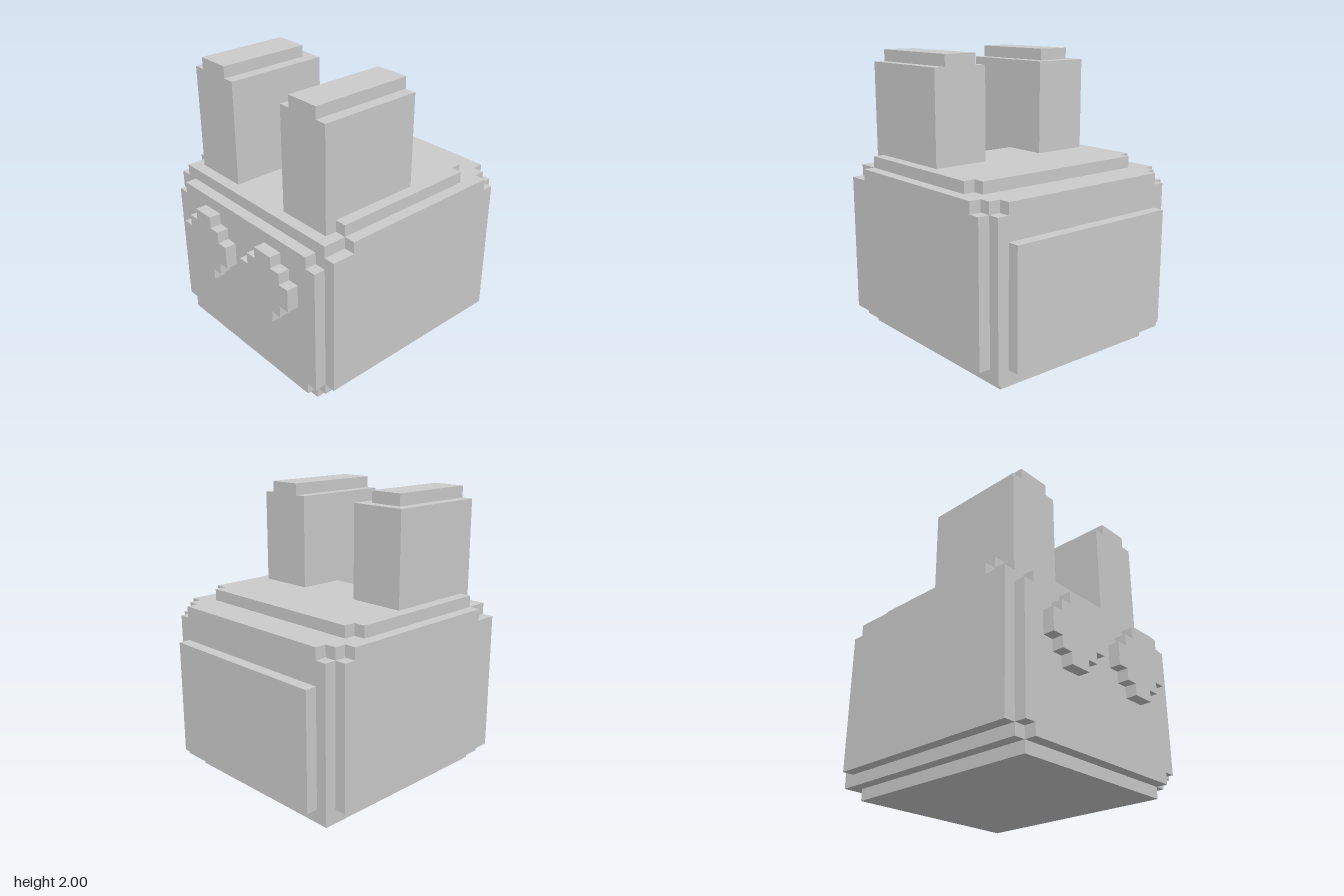
import * as THREE from 'three';

const U = 0.08; // edge of one block
const material = new THREE.MeshStandardMaterial({ color: 0xcccccc, flatShading: true });

// Box spanning [x0,x1] x [y0,y1] x [z0,z1], measured in blocks
function block(parent, name, [x0, x1], [y0, y1], [z0, z1]) {
  const geometry = new THREE.BoxGeometry((x1 - x0) * U, (y1 - y0) * U, (z1 - z0) * U);
  geometry.translate((x0 + x1) / 2 * U, (y0 + y1) / 2 * U, (z0 + z1) / 2 * U);
  const mesh = new THREE.Mesh(geometry, material);
  mesh.name = name;
  parent.add(mesh);
}

// Stepped outline in the xy plane, extruded from z0 to z1
function plate(parent, name, points, z0, z1) {
  const shape = new THREE.Shape(points.map(([x, y]) => new THREE.Vector2(x * U, y * U)));
  const geometry = new THREE.ExtrudeGeometry(shape, { depth: (z1 - z0) * U, bevelEnabled: false });
  geometry.translate(0, 0, z0 * U);
  const mesh = new THREE.Mesh(geometry, material);
  mesh.name = name;
  parent.add(mesh);
}

function group(parent, name) {
  const g = new THREE.Group();
  g.name = name;
  parent.add(g);
  return g;
}

export function createModel() {
  const model = new THREE.Group();
  model.name = 'blockRabbitHead';

  // Core and base
  const body = group(model, 'body');
  block(body, 'base', [-8, 8], [0, 1], [-9, 9]);
  block(body, 'core', [-9, 9], [1, 15], [-9, 9]);

  // Face plate with four notched corners, back plate with two
  const facePoints = [[-8, 1], [8, 1], [8, 2], [9, 2], [9, 13], [8, 13],
    [8, 14], [-8, 14], [-8, 13], [-9, 13], [-9, 2], [-8, 2]];
  plate(body, 'facePlate', facePoints, 9, 10);
  const backPoints = [[-9, 1], [9, 1], [9, 14], [8, 14], [8, 15], [-8, 15], [-8, 14], [-9, 14]];
  plate(body, 'backPlate', backPoints, -10, -9);
  block(body, 'backPanel', [-8, 8], [2, 12], [-11, -10]);

  // Crown, recessed between the ears
  const crown = group(model, 'crown');
  block(crown, 'crownBackEdge', [-8, 8], [15, 16], [-7, -6]);
  block(crown, 'crownTop', [-9, 9], [15, 16], [-6, 3]);

  for (const s of [1, -1]) {
    const side = s > 0 ? 'left' : 'right';
    const span = (a, b) => (s > 0 ? [a, b] : [-b, -a]);

    // Cheek panel with a shorter top row
    block(body, side + 'Cheek', span(9, 10), [2, 14], [-9, 9]);
    block(body, side + 'CheekTop', span(9, 10), [14, 15], [-8, 7]);
    block(crown, side + 'CrownEdge', span(8, 9), [15, 16], [3, 7]);

    // Ear; the right tip is one block shorter at the back
    const ear = group(model, side + 'Ear');
    block(ear, 'earShaft', span(3, 8), [15, 24], [-1, 8]);
    block(ear, 'earTip', span(4, 7), [24, 25], [s > 0 ? -1 : 0, 8]);

    // Stepped round eye, mirrored quarter by quarter
    const quarter = [[3, 1], [2, 1], [2, 2], [1, 2], [1, 3]];
    const half = [...quarter, ...quarter.map(([x, y]) => [-x, y]).reverse()];
    const eye = [...half, ...half.map(([x, y]) => [-x, -y])];
    plate(model, side + 'Eye', eye.map(([x, y]) => [x + 4 * s, y + 10]), 10, 11);
  }
  return model;
}
